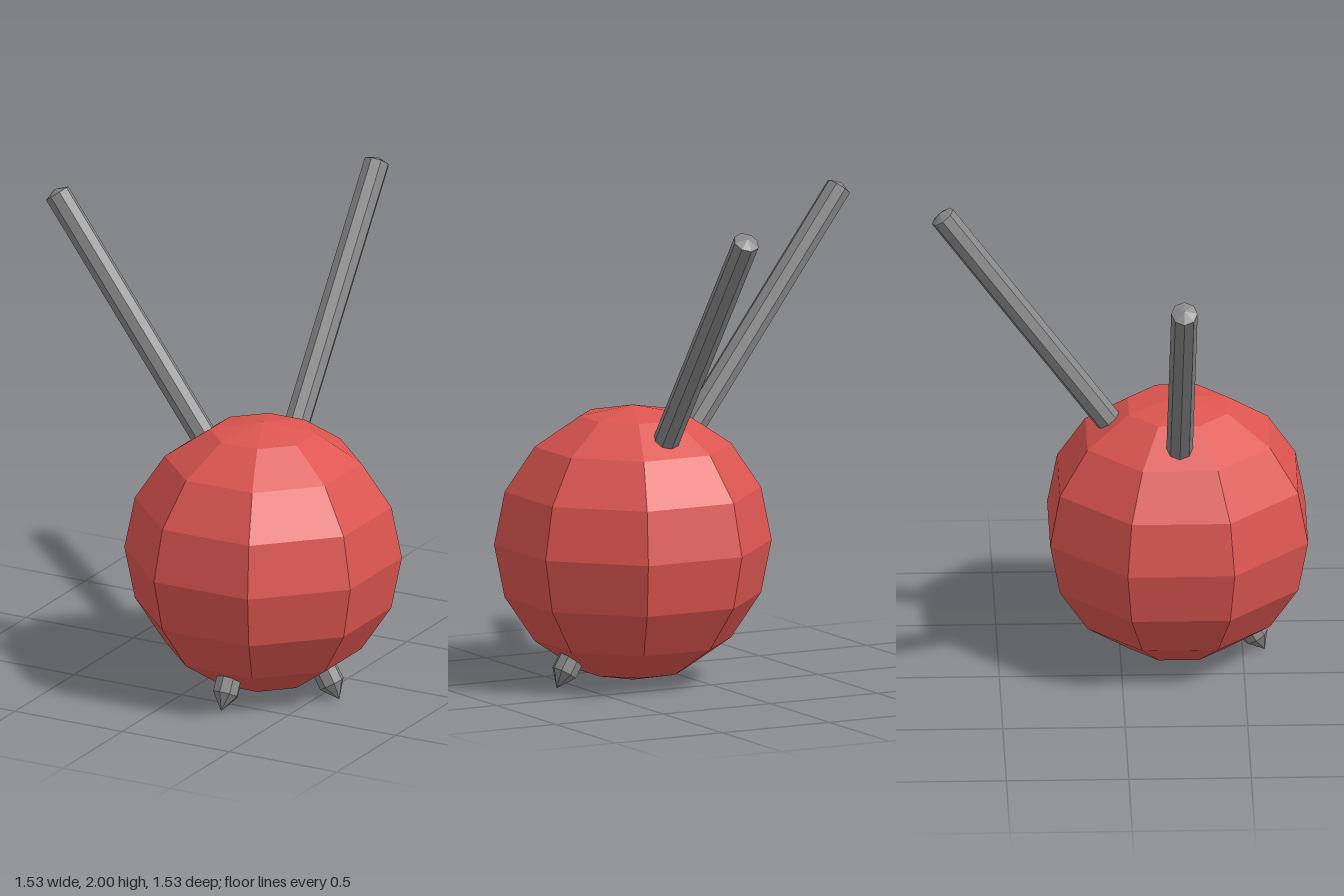
import * as THREE from 'three';

const red = new THREE.MeshStandardMaterial({ color: 0xdd5550, flatShading: true });
const grey = new THREE.MeshStandardMaterial({ color: 0x888888, flatShading: true });

const RADIUS = 0.054;
const deg = THREE.MathUtils.degToRad;

// Eight-sided bar along y with a pointed end; the origin is at the rim of the point
function bar(name, length, point, angle, x, y) {
  const profile = [[0, -length], [RADIUS, -length], [RADIUS, 0], [0, point]]
    .map(([r, h]) => new THREE.Vector2(r, h));
  const mesh = new THREE.Mesh(new THREE.LatheGeometry(profile, 8), grey);
  mesh.name = name;
  mesh.position.set(x, y, 0);
  mesh.rotation.z = deg(angle);
  return mesh;
}

export function createModel() {
  const model = new THREE.Group();
  model.name = 'ballWithRods';

  // Faceted ball, flat sides facing the axes
  const ball = new THREE.Mesh(new THREE.SphereGeometry(0.57, 8, 8), red);
  ball.name = 'ball';
  ball.position.set(0.235, 0.577, 0.235);
  ball.rotation.y = Math.PI / 8;
  model.add(ball);

  // Each pair has a long rod leaning out of the top and a short spike on the opposite underside
  [['side', 0], ['back', -Math.PI / 2]].forEach(([name, turn]) => {
    const pair = new THREE.Group();
    pair.name = name + 'Pair';
    pair.position.copy(ball.position);
    pair.rotation.y = turn;
    pair.add(
      bar(name + 'Rod', 1.25, 0.02, 36.2, -0.96, 1.391),
      bar(name + 'Spike', 0.2, 0.07, 210, 0.32, -0.515)
    );
    model.add(pair);
  });

  return model;
}
